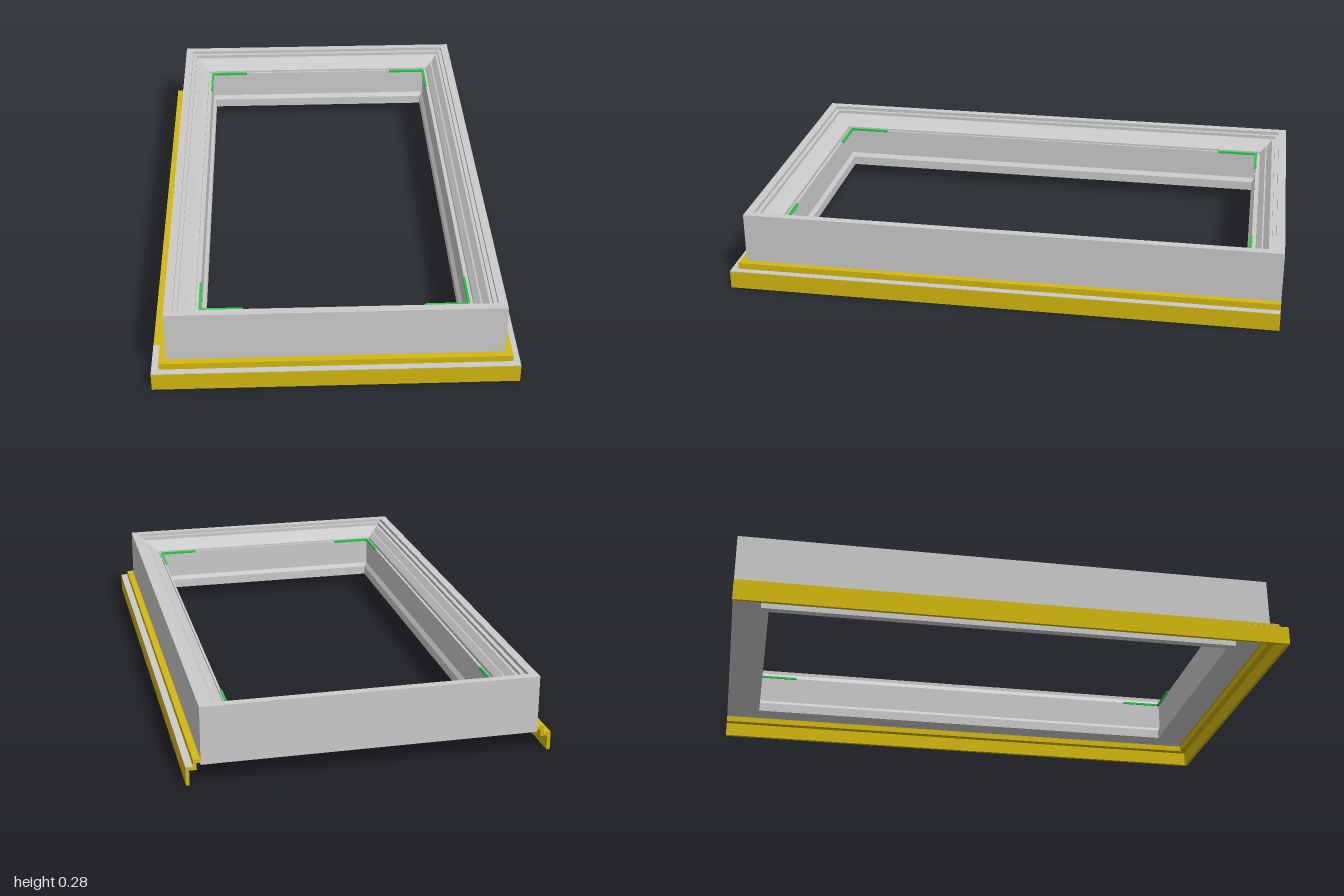
import * as THREE from 'three';

const grey = new THREE.MeshStandardMaterial({ color: 0xcccccc, side: THREE.DoubleSide });
const gold = new THREE.MeshStandardMaterial({ color: 0xd4b80f, side: THREE.DoubleSide });
const green = new THREE.MeshStandardMaterial({ color: 0x22cc44 });

// Sweep a closed profile of [inset, y] points along mitred corners(inset) -> [[x, z], ...]
function sweep(name, material, profile, corners, closed) {
  const pos = [];
  const at = (i, j) => {
    const [d, y] = profile[i % profile.length];
    const path = corners(d);
    const [x, z] = path[j % path.length];
    return [x, y, z];
  };
  const count = corners(0).length;
  const spans = closed ? count : count - 1;
  for (let j = 0; j < spans; j++) {
    for (let i = 0; i < profile.length; i++) {
      const a = at(i, j), b = at(i, j + 1), c = at(i + 1, j + 1), d = at(i + 1, j);
      pos.push(...a, ...b, ...c, ...a, ...c, ...d);
    }
  }
  // Close the two ends of an open run
  if (!closed) {
    const outline = profile.map(([d, y]) => new THREE.Vector2(d, y));
    for (const [p, q, r] of THREE.ShapeUtils.triangulateShape(outline, [])) {
      pos.push(...at(p, 0), ...at(q, 0), ...at(r, 0));
      pos.push(...at(p, count - 1), ...at(r, count - 1), ...at(q, count - 1));
    }
  }
  const geometry = new THREE.BufferGeometry();
  geometry.setAttribute('position', new THREE.Float32BufferAttribute(pos, 3));
  geometry.computeVertexNormals();
  const mesh = new THREE.Mesh(geometry, material);
  mesh.name = name;
  return mesh;
}

export function createModel() {
  const group = new THREE.Group();
  group.name = 'windowFrame';

  // Rectangular curb frame with a stepped, sloping inner rebate and a lining
  const frameCorners = d => [
    [-0.58 + d, -1 + d], [-0.58 + d, 0.95 - d], [0.58 - d, 0.95 - d], [0.58 - d, -1 + d],
  ];
  group.add(sweep('frame', grey, [
    [0, 0.07], [0, 0.275], [0.03, 0.275], [0.03, 0.262], [0.045, 0.262], [0.045, 0.25],
    [0.055, 0.25], [0.075, 0.23], [0.08, 0.23], [0.1, 0.212], [0.1, 0.2], [0.108, 0.2],
    [0.108, 0.07],
  ], frameCorners, true));
  group.add(sweep('innerLining', grey, [
    [0.108, 0.055], [0.108, 0.208], [0.116, 0.208], [0.116, 0.1], [0.128, 0.085],
    [0.128, 0.05], [0.1, 0.05], [0.1, 0.07],
  ], frameCorners, true));

  // Stepped skirt along the front and both sides, hollow underneath
  const skirtCorners = (d, leftStart = -1) => [
    [-0.63 + d, leftStart], [-0.63 + d, 1 - d], [0.63 - d, 1 - d], [0.63 - d, -1],
  ];
  group.add(sweep('skirt', gold, [
    [0, 0], [0, 0.065], [0.025, 0.065], [0.025, 0.09], [0.05, 0.09], [0.05, 0.078],
    [0.037, 0.078], [0.037, 0.053], [0.012, 0.053], [0.012, 0],
  ], d => skirtCorners(d), false));

  // Thin grey cover on the skirt ledge
  group.add(sweep('ledgeCover', grey, [
    [0, 0.0655], [0, 0.067], [0.025, 0.067], [0.025, 0.0655],
  ], d => skirtCorners(d, 0.84), false));

  // Thin corner clips at the top of the lining
  const clips = new THREE.Group();
  clips.name = 'cornerClips';
  for (const sx of [-1, 1]) {
    for (const [z, inward] of [[0.832, -1], [-0.882, 1]]) {
      const along = new THREE.Mesh(new THREE.BoxGeometry(0.15, 0.008, 0.01), green);
      along.position.set(sx * 0.39, 0.207, z);
      const side = new THREE.Mesh(new THREE.BoxGeometry(0.008, 0.008, 0.15), green);
      side.position.set(sx * 0.464, 0.207, z + inward * 0.08);
      along.name = side.name = 'cornerClip';
      clips.add(along, side);
    }
  }
  group.add(clips);
  return group;
}
